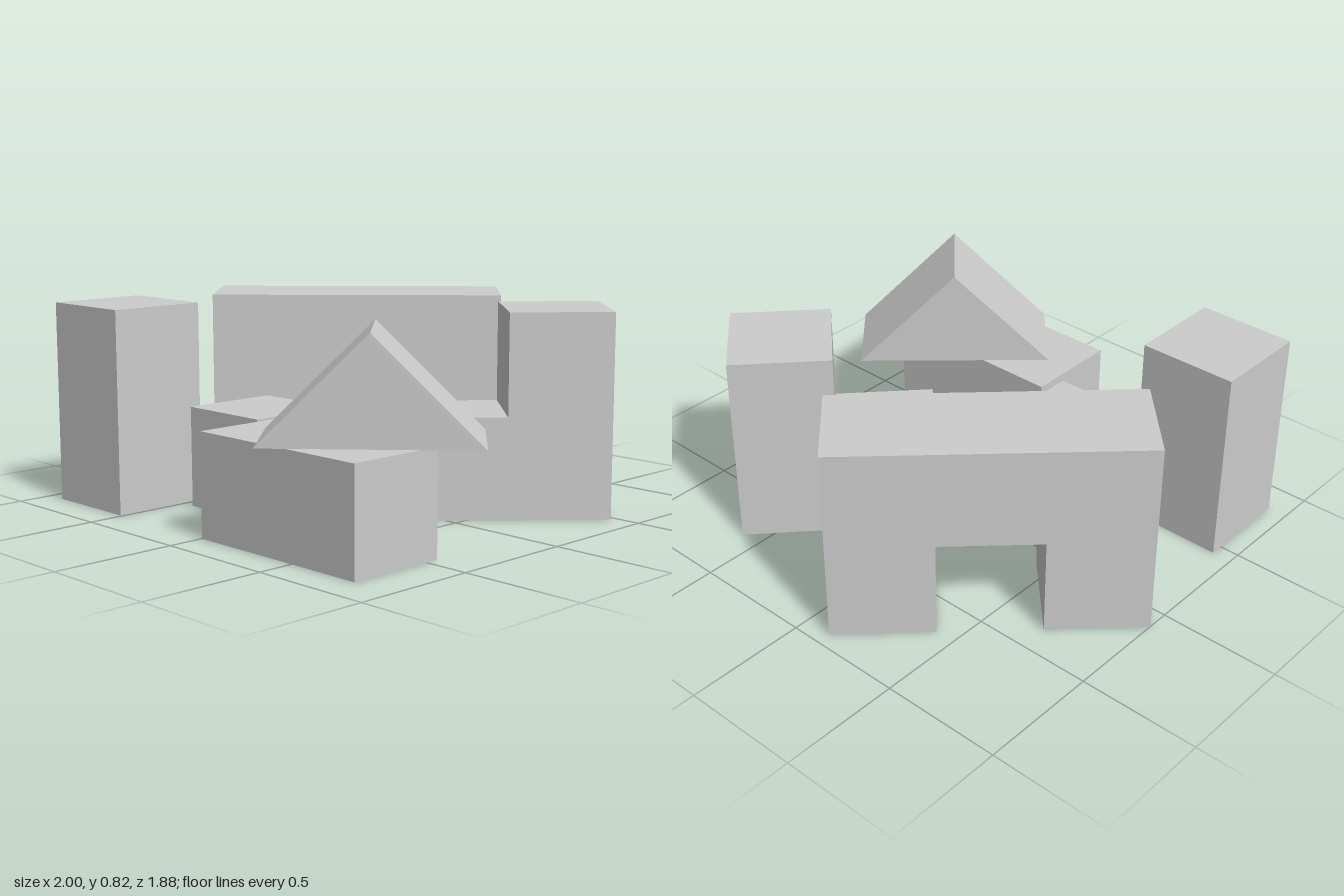
import * as THREE from 'three';

const U = 0.4075; // edge of one block unit

// Extrudes a profile (in block units) one unit deep, leaving the underside open if asked
function blockGeometry(profile, openBase) {
  const shape = new THREE.Shape(profile.map(([x, y]) => new THREE.Vector2(x * U, y * U)));
  const extruded = new THREE.ExtrudeGeometry(shape, { depth: U, bevelEnabled: false });
  extruded.translate(0, 0, -U / 2);
  if (!openBase) return extruded;

  const p = extruded.attributes.position;
  const kept = [];
  for (let i = 0; i < p.count; i += 3) {
    const onGround = [0, 1, 2].every((k) => Math.abs(p.getY(i + k)) < 1e-5);
    if (onGround) continue;
    for (let k = 0; k < 3; k++) kept.push(p.getX(i + k), p.getY(i + k), p.getZ(i + k));
  }
  const geometry = new THREE.BufferGeometry();
  geometry.setAttribute('position', new THREE.Float32BufferAttribute(kept, 3));
  geometry.computeVertexNormals();
  return geometry;
}

// Rectangular profile centred on x
const box = (w, h) => [[-w / 2, 0], [w / 2, 0], [w / 2, h], [-w / 2, h]];

export function createModel() {
  const group = new THREE.Group();
  const material = new THREE.MeshStandardMaterial({
    color: 0xcccccc, flatShading: true, side: THREE.DoubleSide,
  });

  const arch = [[-1.5, 0], [-0.5, 0], [-0.5, 1], [0.5, 1], [0.5, 0], [1.5, 0], [1.5, 2], [-1.5, 2]];
  const step = [[-1, 0], [1, 0], [1, 2], [0, 2], [0, 1], [-1, 1]];
  const wedge = [[-1, 0], [1, 0], [0, 1]];

  // name, profile, position, turn about y, open underside
  const blocks = [
    ['towerBlock', box(1, 2), [-0.713, 0, 0.65], 0, true],
    ['cubeBlock', box(1, 1), [-0.237, 0, 0.343], 0, true],
    ['longBlock', box(2, 1), [0.41, 0, 0.65], 0, true],
    ['archBlock', arch, [-0.42, 0, -0.37], 0.768, true],
    ['stepBlock', step, [0.463, 0, -0.312], 0.82, true],
    ['roofBlock', wedge, [0.558, U + 0.002, 0.51], 0.742, false],
  ];

  for (const [name, profile, position, turn, openBase] of blocks) {
    const mesh = new THREE.Mesh(blockGeometry(profile, openBase), material);
    mesh.name = name;
    mesh.position.set(...position);
    mesh.rotation.y = turn;
    group.add(mesh);
  }
  return group;
}
